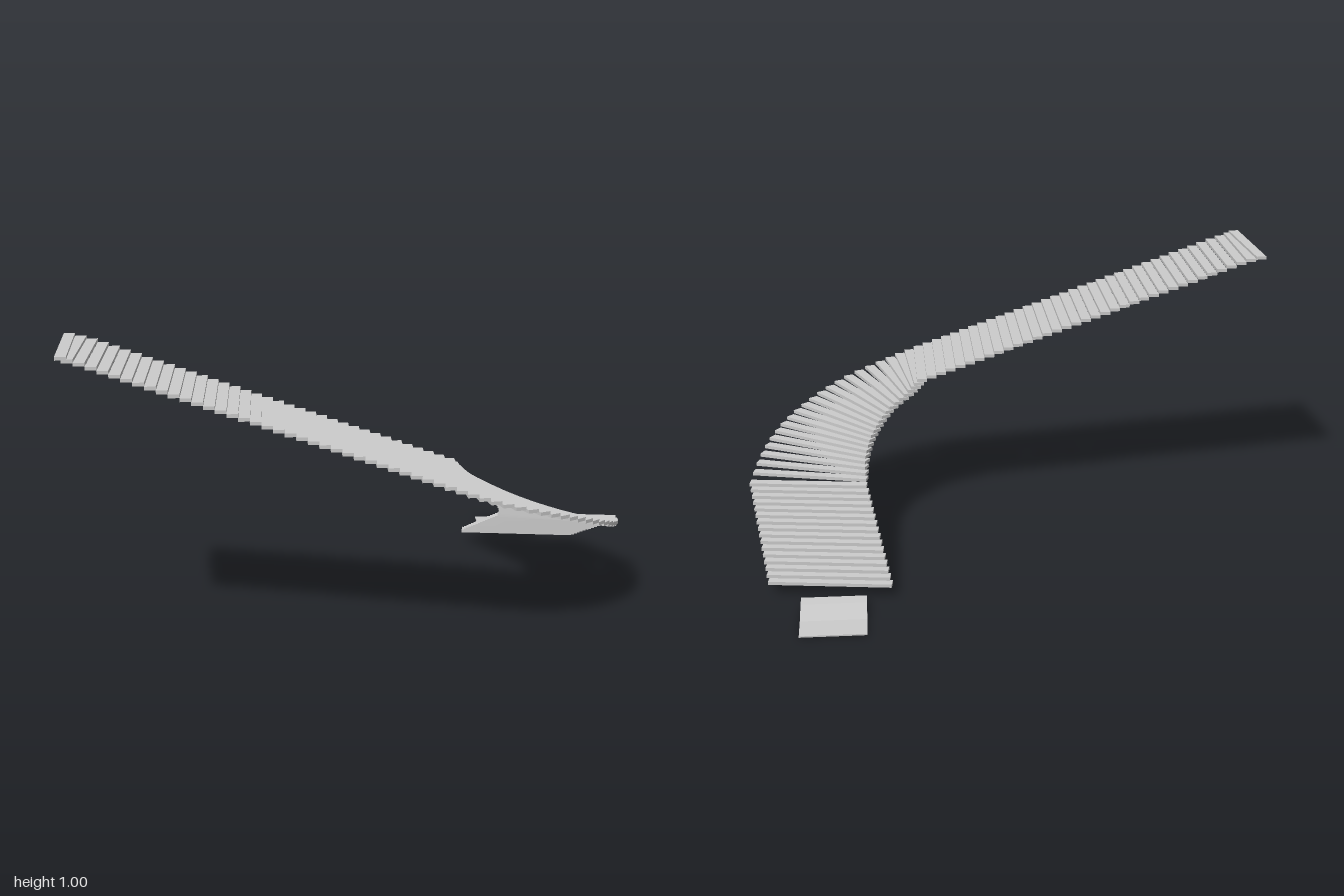
import * as THREE from 'three';

const WIDTH = 0.44, DEPTH = 0.038, THICK = 0.012;
const deg = THREE.MathUtils.degToRad;

export function createModel() {
  const model = new THREE.Group();
  model.name = 'curvedStaircase';
  const material = new THREE.MeshStandardMaterial({ color: 0xcccccc, flatShading: true });
  const treadGeometry = new THREE.BoxGeometry(DEPTH, THICK, WIDTH);

  function addFlight(name) {
    const flight = new THREE.Group();
    flight.name = name;
    model.add(flight);
    return (x, y, z, turn) => {
      const tread = new THREE.Mesh(treadGeometry, material);
      tread.name = 'tread';
      tread.position.set(x, y, z);
      tread.rotation.y = deg(turn);
      flight.add(tread);
    };
  }

  // Upper straight flight, its first tread slightly turned
  const upper = addFlight('upperFlight');
  upper(-0.97, 0.994, 0.543, 2.5);
  const upperSteps = 34;
  for (let i = 0; i < upperSteps; i++) {
    const x = THREE.MathUtils.lerp(-0.94, 0.335, i / upperSteps);
    upper(x, Math.min(0.654 - 0.355 * x, 0.985), 0.543, 0);
  }

  // Winding flight: tread centre and turn angle at equal drops
  const keys = [
    [0.335, 0.535, 0.543, 0], [0.43, 0.485, 0.53, 13], [0.545, 0.435, 0.485, 25],
    [0.635, 0.385, 0.41, 37], [0.705, 0.335, 0.32, 50], [0.75, 0.285, 0.2, 63],
    [0.775, 0.235, 0.04, 81],
  ];
  const path = new THREE.CatmullRomCurve3(keys.map(([x, y, z]) => new THREE.Vector3(x, y, z)), false, 'catmullrom');
  const turns = new THREE.CatmullRomCurve3(keys.map((k) => new THREE.Vector3(k[3], 0, 0)), false, 'catmullrom');
  const winding = addFlight('windingFlight');
  const windingSteps = 22;
  for (let i = 0; i < windingSteps; i++) {
    const p = path.getPoint(i / windingSteps);
    winding(p.x, p.y, p.z, turns.getPoint(i / windingSteps).x);
  }

  // Lower straight flight
  const lower = addFlight('lowerFlight');
  const from = new THREE.Vector3(0.775, 0.235, 0.03), to = new THREE.Vector3(0.693, 0.041, -0.43);
  const lowerSteps = 15;
  for (let i = 0; i <= lowerSteps; i++) {
    const p = from.clone().lerp(to, i / lowerSteps);
    lower(p.x, p.y, p.z, 82);
  }

  // Thin bent plate at the foot, side profile extruded across x
  const top = [[0.51, 0.024], [0.56, 0.021], [0.66, 0.006], [0.77, 0.005]];
  const bottom = top.map(([d, y]) => [d, y - 0.005]).reverse();
  const profile = new THREE.Shape([...top, ...bottom].map(([d, y]) => new THREE.Vector2(d, y)));
  const plateGeometry = new THREE.ExtrudeGeometry(profile, { depth: 0.23, bevelEnabled: false });
  plateGeometry.rotateY(Math.PI / 2);
  const plate = new THREE.Mesh(plateGeometry, material);
  plate.name = 'footPlate';
  plate.position.x = 0.565;
  model.add(plate);

  return model;
}
